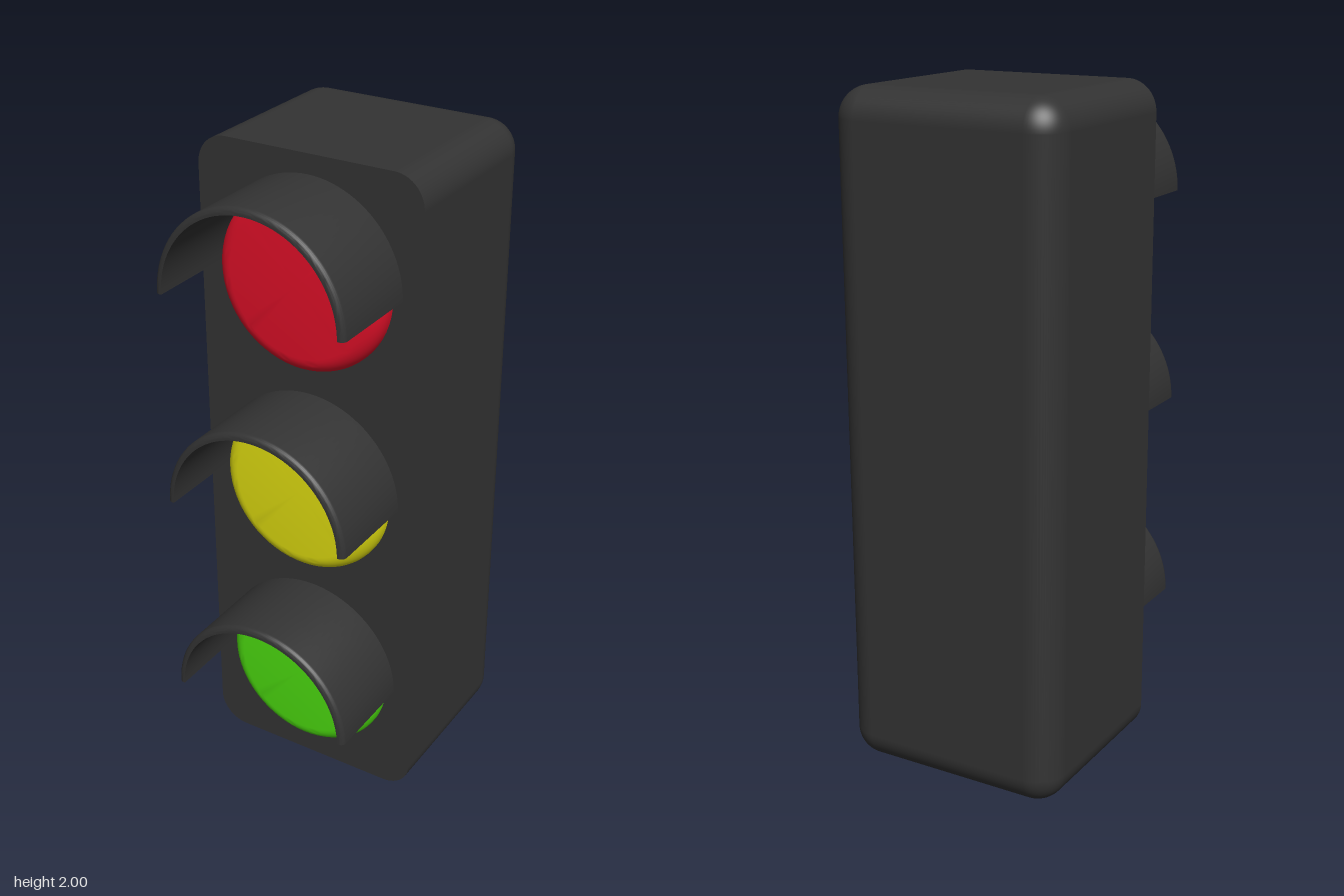
import * as THREE from 'three';
import { toCreasedNormals } from 'three/addons/utils/BufferGeometryUtils.js';
import { RoundedBoxGeometry } from 'three/addons/geometries/RoundedBoxGeometry.js';

const FRONT = 0.145, BACK = -0.44, TIP = 0.44, R = 0.09;

// Rounded box whose front rounding is pressed flat onto the front plane
function housingGeometry() {
  const depth = FRONT + R - BACK;
  const geo = new RoundedBoxGeometry(0.7, 2, depth, 8, R);
  geo.translate(0, 1, BACK + depth / 2);
  const p = geo.attributes.position, n = geo.attributes.normal;
  for (let i = 0; i < p.count; i++) p.setZ(i, Math.min(p.getZ(i), FRONT));
  for (let i = 0; i < p.count; i += 3) {
    const flat = [0, 1, 2].every(k => p.getZ(i + k) > FRONT - 1e-5);
    if (flat) for (let k = 0; k < 3; k++) n.setXYZ(i + k, 0, 0, 1);
  }
  return geo;
}

// Disc with a rounded front rim
function lensGeometry() {
  const r = 0.265, b = 0.05, h = 0.06;
  const pts = [new THREE.Vector2(r, -0.02)];
  for (let i = 0; i <= 8; i++) {
    const a = (i / 8) * Math.PI / 2;
    pts.push(new THREE.Vector2(r - b + b * Math.cos(a), h - b + b * Math.sin(a)));
  }
  pts.push(new THREE.Vector2(0, h));
  return toCreasedNormals(new THREE.LatheGeometry(pts, 64).rotateX(Math.PI / 2), 0.6);
}

// Half-tube hood: wall section with a softened outer lip
function visorSection() {
  const ro = 0.293, ri = 0.272, h = TIP - FRONT, b = 0.016;
  const pts = [new THREE.Vector2(ri, -0.02), new THREE.Vector2(ro, -0.02)];
  for (let i = 0; i <= 5; i++) {
    const a = (i / 5) * Math.PI / 2;
    pts.push(new THREE.Vector2(ro - b + b * Math.cos(a), h - b + b * Math.sin(a)));
  }
  pts.push(new THREE.Vector2(ri, h));
  return pts;
}

export function createModel() {
  const model = new THREE.Group();
  const dark = new THREE.MeshStandardMaterial({ color: 0x333333, side: THREE.DoubleSide });

  const add = (parent, name, geo, mat) => {
    const mesh = new THREE.Mesh(geo, mat);
    mesh.name = name;
    parent.add(mesh);
    return mesh;
  };

  add(model, 'housing', housingGeometry(), dark);

  const lens = lensGeometry();
  const section = visorSection();
  const hood = toCreasedNormals(
    new THREE.LatheGeometry([...section, section[0]], 48, Math.PI / 2, Math.PI).rotateX(Math.PI / 2), 0.6);
  const end = new THREE.ShapeGeometry(new THREE.Shape(section)).rotateX(Math.PI / 2);

  // Three lamps, each with its lens and hood
  const lamps = [['red', 1.65, 0xe01028], ['yellow', 1.005, 0xe0dd10], ['green', 0.36, 0x4ddd10]];
  for (const [name, y, color] of lamps) {
    const lamp = new THREE.Group();
    lamp.name = name + 'Lamp';
    lamp.position.set(0, y, FRONT);
    add(lamp, name + 'Lens', lens, new THREE.MeshStandardMaterial({ color }));
    add(lamp, name + 'Visor', hood, dark);
    for (const s of [-1, 1]) add(lamp, name + 'VisorEnd', end, dark).scale.x = s;
    model.add(lamp);
  }
  return model;
}
